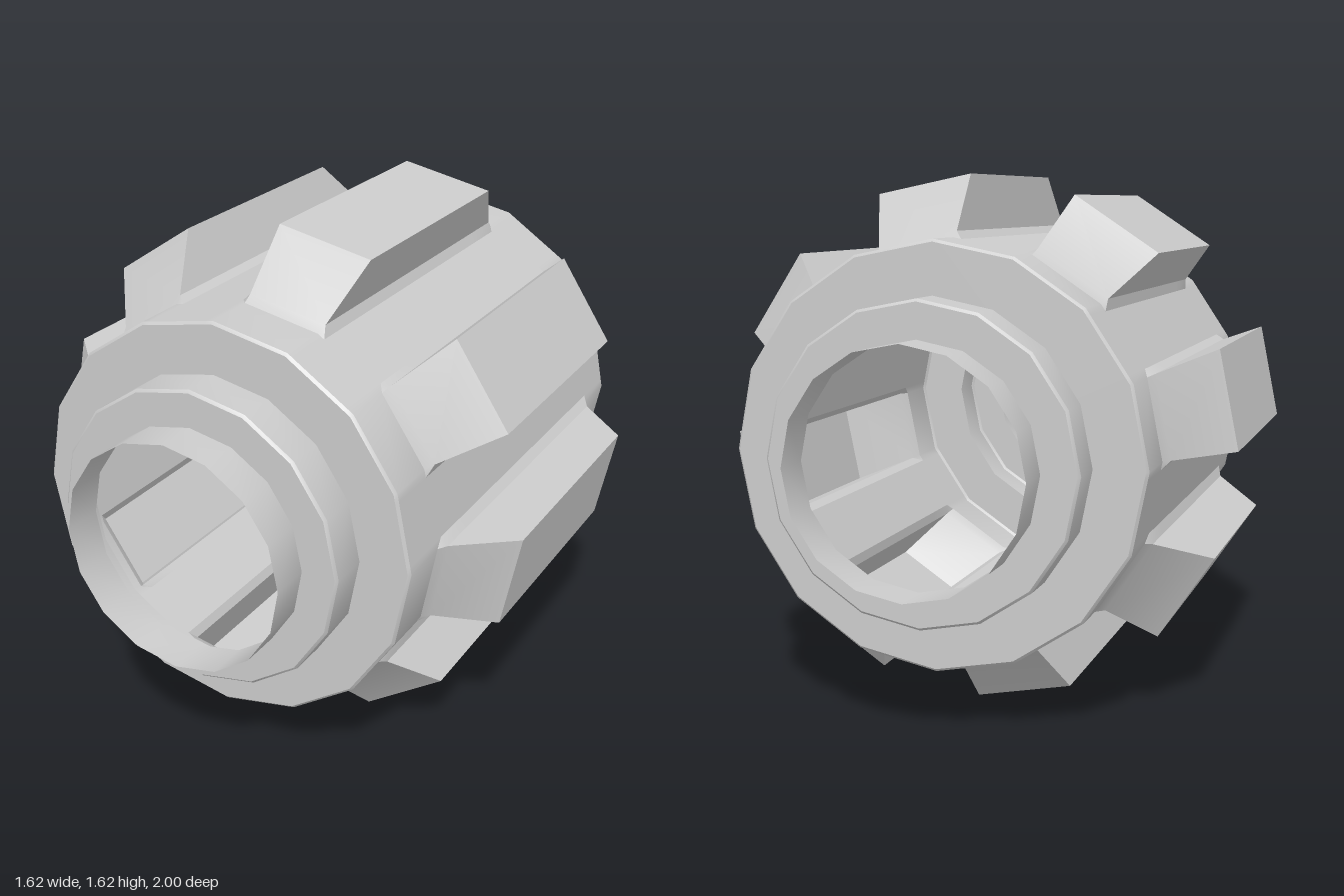
import * as THREE from 'three';
import { toCreasedNormals } from 'three/addons/utils/BufferGeometryUtils.js';

const SIDES = 16, TEETH = 8, CREASE = 0.5;
const STEP = (Math.PI * 2) / SIDES;
const material = new THREE.MeshStandardMaterial({ color: 0xcccccc, side: THREE.DoubleSide });

// point at radius r, angle a clockwise from the top
const polar = (r, a, z) => new THREE.Vector3(r * Math.sin(a), r * Math.cos(a), z);

// one cross-section: a 16-sided ring whose every other side is raised by h
function crossSection([z, r, h]) {
  const points = [];
  const foot = Math.min(h, 0.018), inset = h > 0.1 ? 0.012 : 0;
  for (let i = 0; i < TEETH; i++) {
    const a = i * 2 * STEP, b = a + STEP;
    const left = polar(r, a, z), right = polar(r, b, z);
    points.push(
      left.clone().lerp(polar(r, a - STEP, z), 0.1),   // fillet start
      polar(r + foot, a, z),
      polar(r + h, a + inset, z),                      // tooth top
      polar(r + h, b - inset * 0.3, z),
      polar(r + foot, b, z),
      right.clone().lerp(polar(r, b + STEP, z), 0.1)   // fillet end
    );
  }
  return points;
}

// skin consecutive cross-sections, leaving out collapsed triangles
function skin(sections) {
  const positions = [];
  const addTriangle = (a, b, c) => {
    const area = b.clone().sub(a).cross(c.clone().sub(a)).length();
    if (area > 1e-7) for (const p of [a, b, c]) positions.push(p.x, p.y, p.z);
  };
  for (let s = 0; s < sections.length - 1; s++) {
    const near = sections[s], far = sections[s + 1];
    for (let i = 0; i < near.length; i++) {
      const j = (i + 1) % near.length;
      addTriangle(near[i], near[j], far[i]);
      addTriangle(near[j], far[j], far[i]);
    }
  }
  const geometry = new THREE.BufferGeometry();
  geometry.setAttribute('position', new THREE.Float32BufferAttribute(positions, 3));
  return toCreasedNormals(geometry, CREASE);
}

// 16-sided ring turned around the z axis from [radius, z] pairs
function turned(name, profile) {
  const geometry = new THREE.LatheGeometry(profile.map(([r, z]) => new THREE.Vector2(r, z)), SIDES);
  geometry.rotateX(Math.PI / 2);
  const mesh = new THREE.Mesh(toCreasedNormals(geometry, CREASE), material);
  mesh.name = name;
  return mesh;
}

export function createModel() {
  const model = new THREE.Group();
  model.name = 'toothedDrum';
  const drum = new THREE.Group();
  drum.position.y = 0.81;
  model.add(drum);

  // hollow body with eight raised teeth: [z, radius, tooth height]
  const half = [
    [0.75, 0.467, 0], [0.75, 0.617, 0], [0.742, 0.625, 0],
    [0.58, 0.625, 0], [0.55, 0.625, 0.018], [0.4, 0.625, 0.185]
  ];
  const rings = [...half, ...half.map(([z, r, h]) => [-z, r, h]).reverse()];
  const body = new THREE.Mesh(skin(rings.map(crossSection)), material);
  body.name = 'toothedBody';
  drum.add(body);

  // stepped collar and open tube on both ends
  for (const [name, turn] of [['frontEnd', 0], ['backEnd', Math.PI]]) {
    const end = new THREE.Group();
    end.name = name;
    end.rotation.y = turn;
    end.add(
      turned('collar', [[0.467, 0.75], [0.467, 0.867], [0.459, 0.875], [0.355, 0.875]]),
      turned('tube', [[0.355, 0.875], [0.355, 1]])
    );
    drum.add(end);
  }
  return model;
}
